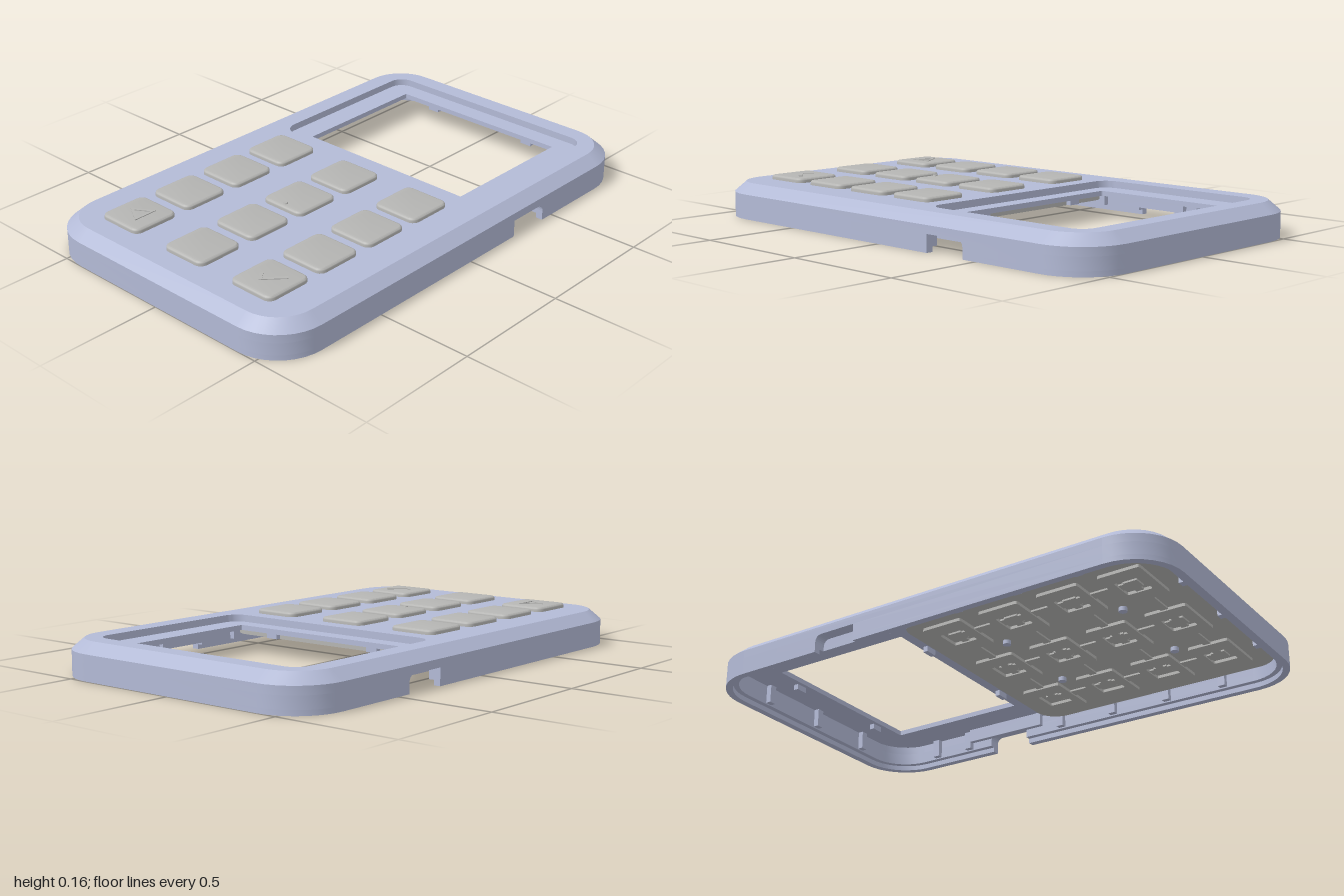
import * as THREE from 'three';
import { toCreasedNormals } from 'three/addons/utils/BufferGeometryUtils.js';

const HW = 0.618, HL = 1, R = 0.2; // half width, half length, corner radius
const WALL_TOP = 0.1, TOP = 0.14, CHAMFER = 0.047;
const NOTCH_FRONT = -0.26, NOTCH_BACK = -0.44, NOTCH_H = 0.068;

// rounded rectangle in plan, counter-clockwise; second coordinate is -z
function roundRect(hw, hl, r, cx = 0, cz = 0, n = 9) {
  const pts = [];
  [[1, 1], [-1, 1], [-1, -1], [1, -1]].forEach(([sx, sv], q) => {
    for (let i = 0; i <= n; i++) {
      const a = (q + i / n) * Math.PI / 2;
      pts.push(new THREE.Vector2(cx + sx * (hw - r) + r * Math.cos(a), -cz + sv * (hl - r) + r * Math.sin(a)));
    }
  });
  return pts;
}

// vertical slab between two heights, with optional holes and softened top
function slab(outline, y0, y1, holes = [], bevel = 0) {
  const shape = new THREE.Shape(outline);
  shape.holes = holes.map((h) => new THREE.Path(h));
  const geo = new THREE.ExtrudeGeometry(shape, {
    depth: y1 - y0 - 2 * bevel, bevelEnabled: bevel > 0, bevelSize: bevel,
    bevelThickness: bevel, bevelOffset: -bevel, bevelSegments: 3,
  });
  geo.rotateX(-Math.PI / 2).translate(0, y0 + bevel, 0);
  return toCreasedNormals(geo, 0.6);
}

// closed strip joining two outlines with equal point counts
function loft(low, high, y0, y1) {
  const n = low.length, pos = [], idx = [];
  low.forEach((p) => pos.push(p.x, y0, -p.y));
  high.forEach((p) => pos.push(p.x, y1, -p.y));
  for (let i = 0; i < n; i++) {
    const j = (i + 1) % n;
    idx.push(i, j, n + j, i, n + j, n + i);
  }
  const geo = new THREE.BufferGeometry();
  geo.setAttribute('position', new THREE.Float32BufferAttribute(pos, 3));
  geo.setIndex(idx);
  geo.computeVertexNormals();
  return geo;
}

// U-shaped wall outline from a cut line to the front (s = -1) or back (s = 1)
function uOutline(s, cutZ, thick) {
  const half = (inset) => {
    const w = HW - inset, r = R - inset;
    const pts = [new THREE.Vector2(w, -cutZ)];
    for (let k = 0; k < 2; k++) for (let i = 0; i <= 9; i++) {
      const a = (k + i / 9) * Math.PI / 2;
      pts.push(new THREE.Vector2((k ? -1 : 1) * (HW - R) + r * Math.cos(a), s * (HL - R + r * Math.sin(a))));
    }
    pts.push(new THREE.Vector2(-w, -cutZ));
    return pts;
  };
  return [...half(0), ...half(thick).reverse()];
}

export function createModel() {
  const model = new THREE.Group();
  const casing = new THREE.MeshStandardMaterial({ color: 0xb3bad6 });
  casing.name = 'casing blue grey';
  const rubber = new THREE.MeshStandardMaterial({ color: 0xb5b5b3 });
  rubber.name = 'rubber grey';
  const add = (name, geo, mat, parent = model) => {
    const mesh = new THREE.Mesh(geo, mat);
    mesh.name = name;
    parent.add(mesh);
    return mesh;
  };
  const box = (name, w, h, d, x, y, z, mat, parent) =>
    add(name, new THREE.BoxGeometry(w, h, d), mat, parent).position.set(x, y, z);

  // casing walls: stepped thin rim at the bottom, open at the side notches
  const shell = new THREE.Group();
  shell.name = 'casing';
  model.add(shell);
  [['front', -1, NOTCH_FRONT], ['back', 1, NOTCH_BACK]].forEach(([n, s, cut]) => {
    add(n + 'Rim', slab(uOutline(s, cut, 0.028), 0, 0.02), casing, shell);
    add(n + 'Wall', slab(uOutline(s, cut, 0.05), 0.02, NOTCH_H), casing, shell);
  });
  const outer = roundRect(HW, HL, R);
  const inner = roundRect(HW - 0.05, HL - 0.05, R - 0.05);
  const topEdge = roundRect(HW - CHAMFER, HL - CHAMFER, R - CHAMFER);
  add('upperWall', slab(outer, NOTCH_H, WALL_TOP, [inner]), casing, shell);
  add('chamfer', loft(outer, topEdge, WALL_TOP, TOP), casing, shell);

  // rounded upper corner of each notch
  const fillet = new THREE.Shape();
  fillet.moveTo(0, 0).lineTo(0.03, 0).quadraticCurveTo(0, 0, 0, -0.03);
  for (const x of [-HW, HW - 0.05]) {
    const geo = new THREE.ExtrudeGeometry(fillet, { depth: 0.05, bevelEnabled: false, curveSegments: 6 });
    geo.rotateY(-Math.PI / 2).translate(x + 0.05, NOTCH_H, NOTCH_BACK);
    add('notchFillet', geo, casing, shell);
  }

  // top face with the screen recess and window
  const recess = roundRect(0.493, 0.37, 0.06, 0, -0.51);
  const win = roundRect(0.395, 0.298, 0.002, 0, -0.506, 1);
  add('topFace', slab(topEdge, WALL_TOP, TOP, [recess]), casing, shell);
  add('screenSurround', slab(roundRect(0.515, 0.392, 0.07, 0, -0.51), 0.092, 0.112, [win]), casing, shell);

  // inner ribs, screen rails and clips
  for (const s of [-1, 1]) {
    for (const z of [-0.72, -0.55, -0.08, 0.17, 0.42, 0.67])
      box('sideRib', 0.024, 0.075, 0.03, s * (HW - 0.06), 0.0625, z, casing, shell);
    for (const x of [-0.3, 0, 0.3])
      box('endRib', 0.03, 0.075, 0.024, x, 0.0625, s * (HL - 0.06), casing, shell);
    box('screenRail', 0.02, 0.06, 0.36, s * 0.53, 0.07, -0.34, casing, shell);
    for (const z of [-0.83, -0.18])
      box('screenClip', 0.05, 0.025, 0.02, s * 0.25, 0.082, z, casing, shell);
  }

  // rubber mat under the keys
  const keypad = new THREE.Group();
  keypad.name = 'keypad';
  model.add(keypad);
  add('keyMat', slab(roundRect(0.535, 0.53, 0.09, 0, 0.405), 0.058, 0.102), rubber, keypad);
  for (const x of [-0.2, 0.2]) for (const z of [0.145, 0.645]) {
    const boss = add('matBoss', new THREE.CylinderGeometry(0.016, 0.016, 0.02, 16), casing, keypad);
    boss.position.set(x, 0.052, z);
  }

  // keys, each with a hollow pad and contact underneath
  const keyGeo = slab(roundRect(0.1, 0.1, 0.03, 0, 0, 5), 0.1, 0.158, [], 0.009);
  const padGeo = slab(roundRect(0.115, 0.085, 0.01, 0, 0, 2), 0.046, 0.06, [roundRect(0.05, 0.05, 0.006, 0, 0, 2)]);
  const xs = [-0.345, 0, 0.342], zs = [0.025, 0.272, 0.52, 0.768];
  for (const x of xs) for (const z of zs) {
    const key = new THREE.Group();
    key.name = 'key';
    key.position.set(x, 0, z);
    keypad.add(key);
    add('keyCap', keyGeo, rubber, key);
    add('keyPad', padGeo, rubber, key);
    box('keyContact', 0.055, 0.008, 0.055, 0, 0.055, 0, rubber, key);
  }
  // air channels linking the pads
  for (const x of xs) box('airChannel', 0.04, 0.01, 0.75, x, 0.056, 0.397, rubber, keypad);
  for (const z of zs) box('airChannel', 0.7, 0.01, 0.03, 0, 0.056, z, rubber, keypad);

  // raised marks: arrow, tick and locating dot
  const v = (list) => list.map(([a, b]) => new THREE.Vector2(a, b));
  const arrow = slab(v([[-0.05, 0], [0.035, -0.05], [0.035, 0.05]]), 0.156, 0.161,
    [v([[-0.028, 0], [0.025, -0.032], [0.025, 0.032]])]);
  const tick = slab(v([[-0.05, 0], [-0.015, -0.04], [0.055, 0.035], [0.045, 0.045], [-0.015, -0.022], [-0.04, 0.01]]), 0.156, 0.161);
  add('arrowMark', arrow, rubber, keypad).position.set(xs[0], 0, zs[3]);
  add('tickMark', tick, rubber, keypad).position.set(xs[2], 0, zs[3]);
  const dot = add('locatingDot', new THREE.CylinderGeometry(0.008, 0.011, 0.008, 14), rubber, keypad);
  dot.position.set(0, 0.159, 0.347);

  return model;
}
